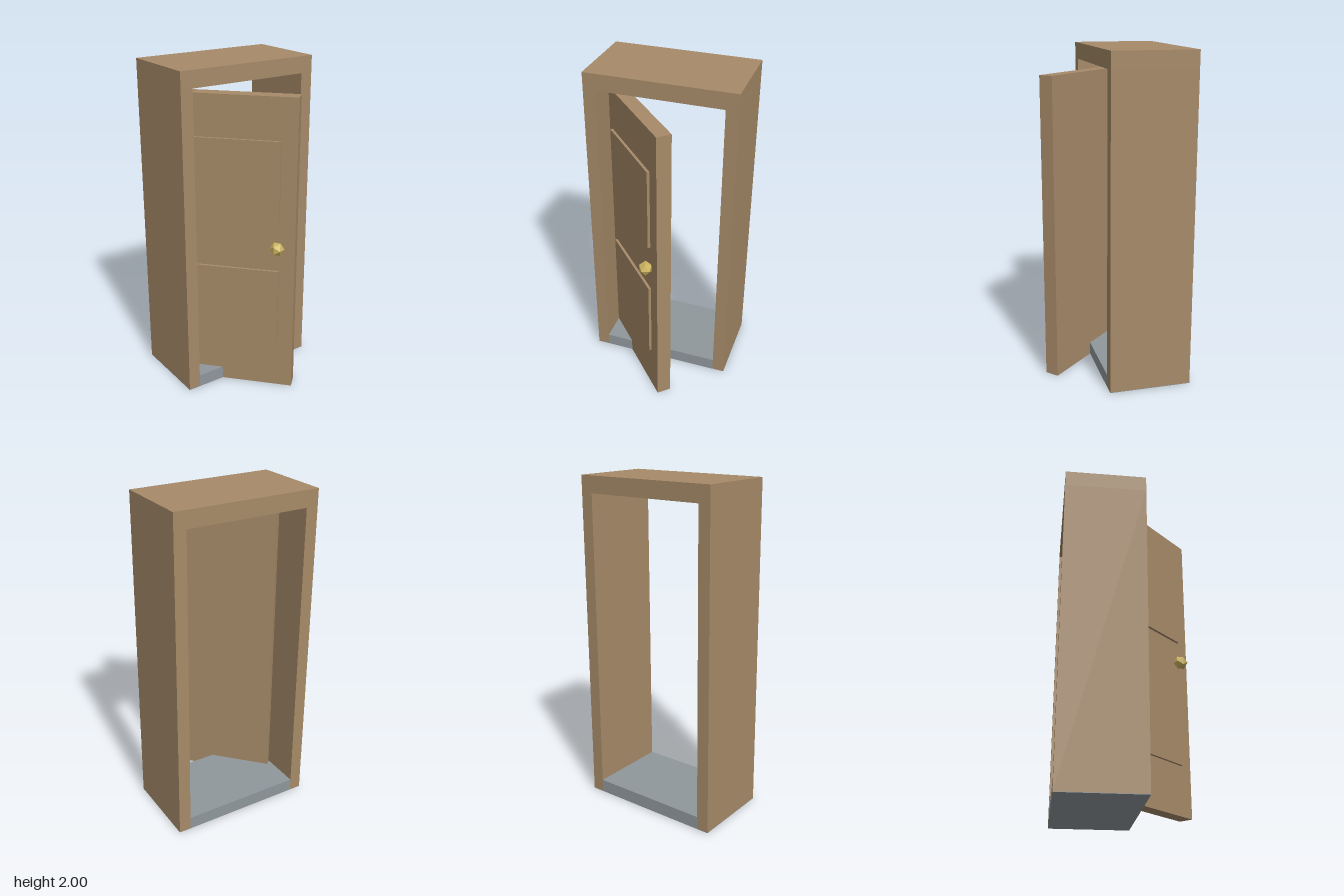
import * as THREE from 'three';

const wood = new THREE.MeshStandardMaterial({ name: 'brown wood', color: 0xa68a68 });
const stone = new THREE.MeshStandardMaterial({ name: 'grey stone', color: 0x8f979c });
const brass = new THREE.MeshStandardMaterial({ name: 'brass', color: 0xcdb560 });
// faceted look for the low-poly knob
brass.flatShading = true;

// Box given by its min and max corners
function box(name, material, min, max) {
  const size = max.map((v, i) => v - min[i]);
  const mesh = new THREE.Mesh(new THREE.BoxGeometry(...size), material);
  mesh.position.set(...max.map((v, i) => (v + min[i]) / 2));
  mesh.name = name;
  return mesh;
}

export function createModel() {
  const model = new THREE.Group();
  model.name = 'openDoorway';

  const W = 0.45, IN = 0.375, BACK = -0.4125, FRONT = 0.0875, BASE = 0.003;

  // Door frame: two jambs and a lintel
  const frame = new THREE.Group();
  frame.name = 'doorFrame';
  frame.add(
    box('rightJamb', wood, [-W, BASE, BACK], [-IN, 1.9, FRONT]),
    box('leftJamb', wood, [IN, BASE, BACK], [W, 1.9, FRONT]),
    box('lintel', wood, [-W, 1.9, BACK], [W, 2, FRONT])
  );
  model.add(frame);

  // Stone threshold, with a thin base running under the jambs
  model.add(
    box('threshold', stone, [-IN, BASE, BACK], [IN, 0.08, FRONT]),
    box('thresholdBase', stone, [-W, 0, BACK], [W, BASE, FRONT])
  );

  // Door leaf, hinged on the right jamb and swung forward
  const door = new THREE.Group();
  door.name = 'door';
  door.position.set(-IN, 0, -0.1625);
  door.rotation.y = -THREE.MathUtils.degToRad(47);
  const LEN = 0.745, HALF = 0.044;
  door.add(box('doorLeaf', wood, [0, 0.001, -HALF], [LEN, 1.85, HALF]));

  // Raised panels on the front face
  for (const [name, y] of [['lowerPanel', 0.3], ['upperPanel', 1.1]]) {
    door.add(box(name, wood, [0.094, y, HALF - 0.01], [LEN - 0.094, y + 0.5, HALF + 0.016]));
  }

  // Faceted knob
  const knob = new THREE.Mesh(new THREE.IcosahedronGeometry(0.044, 0), brass);
  knob.name = 'knob';
  knob.position.set(0.643, 0.955, 0.073);
  knob.rotation.y = -0.44;
  door.add(knob);

  model.add(door);
  return model;
}
